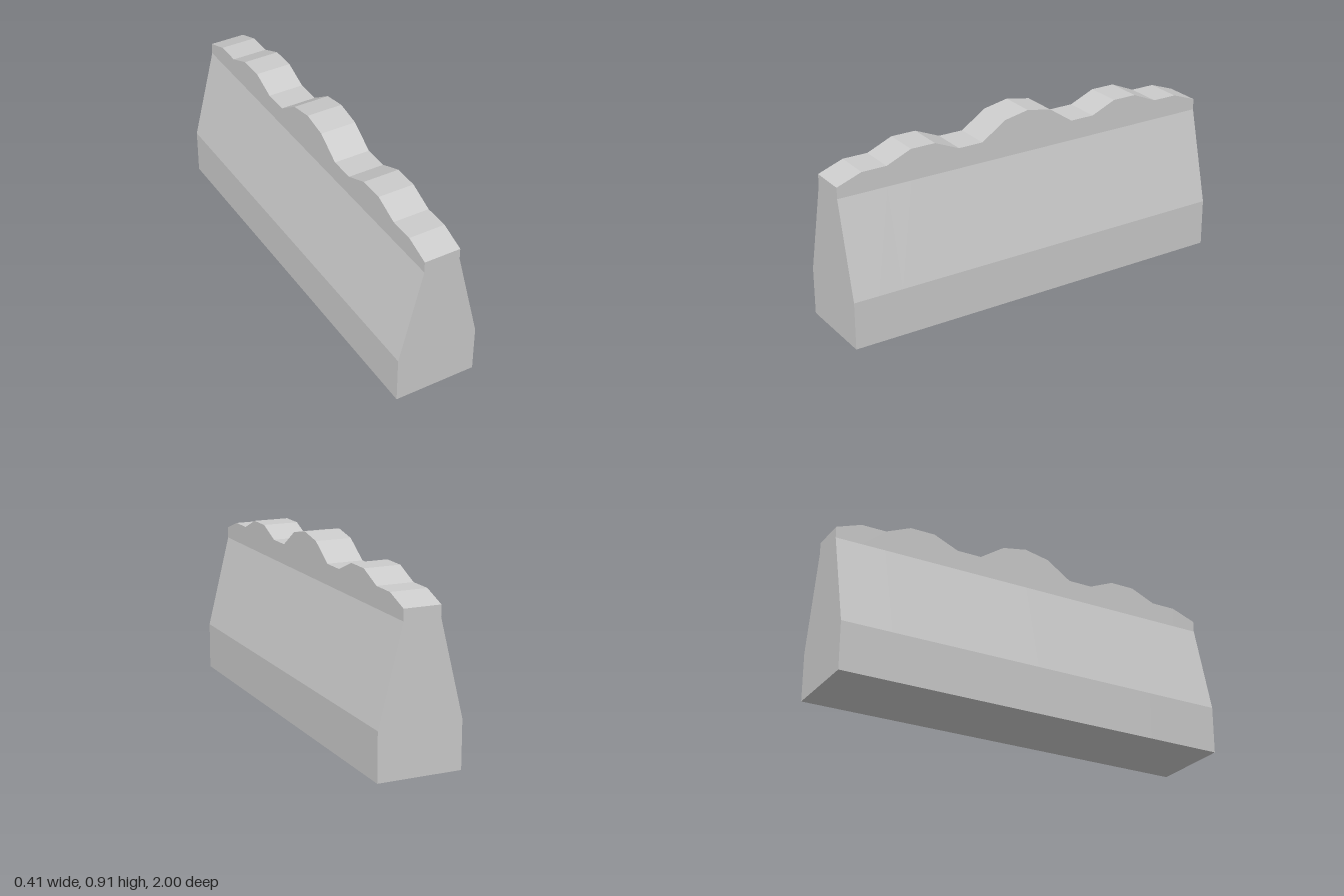
import * as THREE from 'three';

// Crest heights from the centre outwards, one every 0.125 along z
const CREST = [0.907, 0.883, 0.8, 0.8, 0.853, 0.853, 0.8, 0.8, 0.755];
const STEP = 0.125;
const SHOULDER = 0.7;

export function createModel() {
  const group = new THREE.Group();
  group.name = 'barrier';

  // Cross-section: wide foot, sloped sides, narrow upright top
  const half = [[0.205, 0], [0.205, 0.235], [0.09, SHOULDER], [0.09, CREST[8]]];
  const outline = [...half, ...half.map(([x, y]) => [-x, y]).reverse()];
  const profile = new THREE.Shape(outline.map(([x, y]) => new THREE.Vector2(x, y)));

  const geometry = new THREE.ExtrudeGeometry(profile, { depth: 2, steps: 16, bevelEnabled: false });
  geometry.translate(0, 0, -1);

  // Lift the top edge into the wavy crest
  const pos = geometry.attributes.position;
  for (let i = 0; i < pos.count; i++) {
    if (pos.getY(i) > SHOULDER + 0.01) {
      pos.setY(i, CREST[Math.round(Math.abs(pos.getZ(i)) / STEP)]);
    }
  }
  geometry.computeVertexNormals();

  const material = new THREE.MeshStandardMaterial({ color: 0xcccccc, flatShading: true });
  const wall = new THREE.Mesh(geometry, material);
  wall.name = 'wallWithWavyCrest';
  group.add(wall);
  return group;
}
